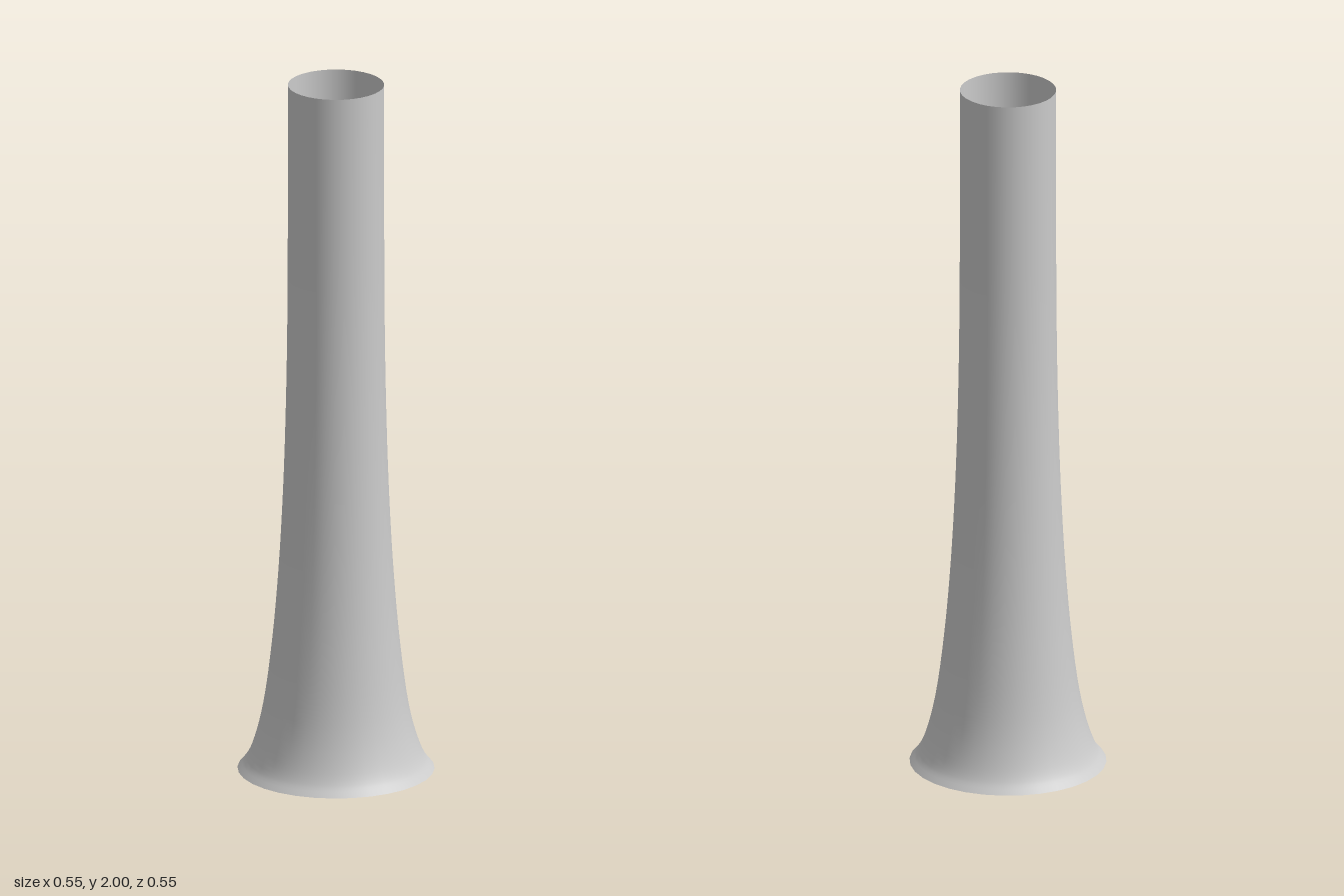
import * as THREE from 'three';

export function createModel() {
  const group = new THREE.Group();
  group.name = 'flaredTube';

  // Half outline [radius, height]: flared mouth at the bottom, straight pipe on top
  const outline = new THREE.CatmullRomCurve3([
    [0.274, 0], [0.25, 0.03], [0.226, 0.09], [0.202, 0.19], [0.178, 0.37],
    [0.16, 0.58], [0.147, 0.82], [0.139, 1.08], [0.135, 1.35], [0.134, 1.65], [0.134, 2],
  ].map(([r, y]) => new THREE.Vector3(r, y, 0)));
  const profile = outline.getPoints(40).map((p) => new THREE.Vector2(p.x, p.y));

  // Thin open shell, seen from inside and outside
  const tube = new THREE.Mesh(
    new THREE.LatheGeometry(profile, 32),
    new THREE.MeshStandardMaterial({ color: 0xcccccc, side: THREE.DoubleSide }),
  );
  tube.name = 'flaredTubeShell';
  group.add(tube);
  return group;
}
